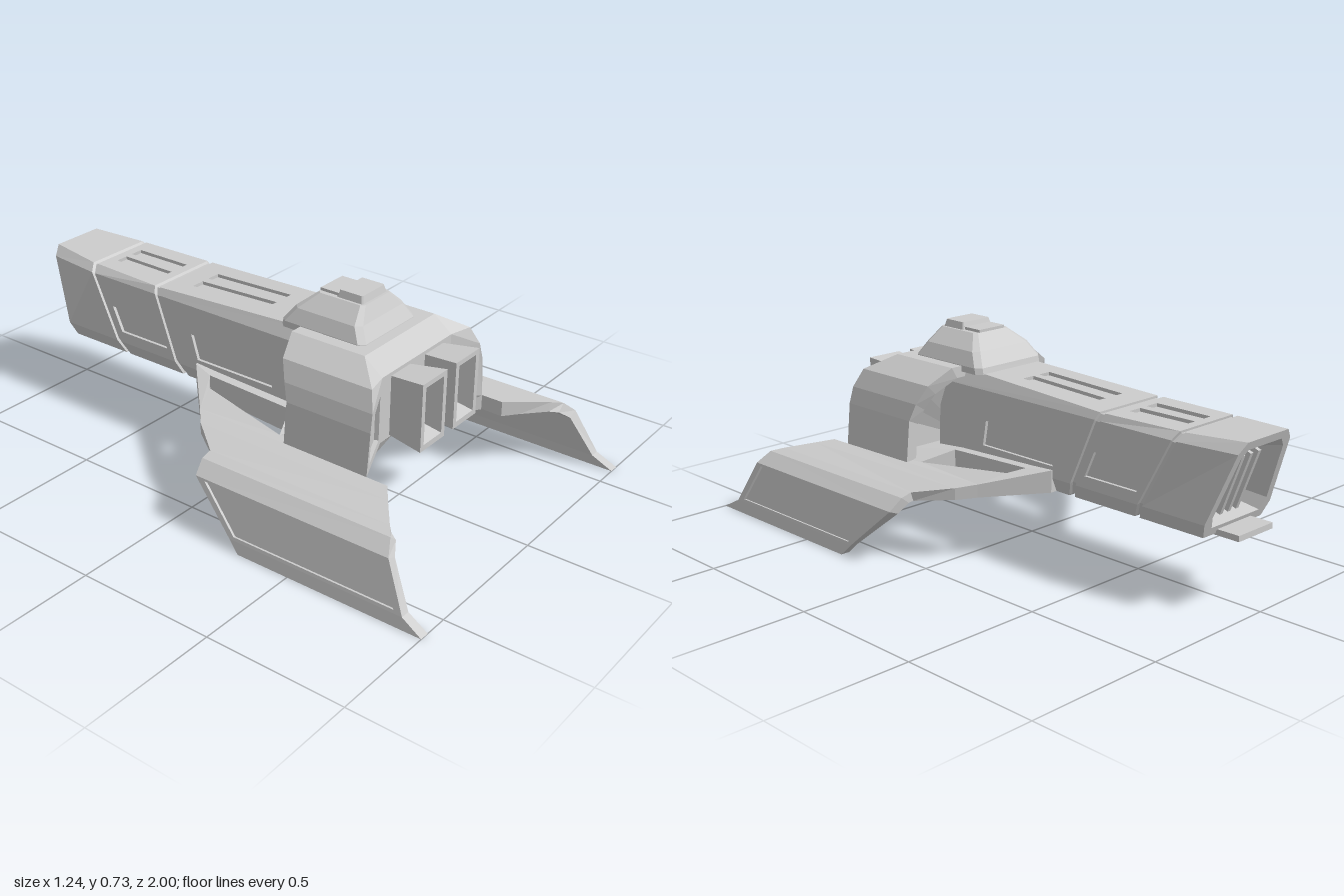
import * as THREE from 'three';

const material = new THREE.MeshStandardMaterial({ color: 0xcccccc, flatShading: true });
const V = (x, y, z) => new THREE.Vector3(x, y, z);
const clamp = (t) => Math.min(1, Math.max(0, t));

// Collects flat facets; with mirror on, every facet is repeated across x = 0
class Facets {
  constructor(mirror = false) { this.mirror = mirror; this.data = []; }
  tri(a, b, c) {
    if (b.clone().sub(a).cross(c.clone().sub(a)).length() < 1e-9) return;
    for (const p of [a, b, c]) this.data.push(p.x, p.y, p.z);
    if (this.mirror) for (const p of [a, c, b]) this.data.push(-p.x, p.y, p.z);
  }
  quad(a, b, c, d) { this.tri(a, b, c); this.tri(a, c, d); }
  // Quad with a sunken panel between u0..u1 (a to b) and v0..v1 (a to d)
  panel(c, [u0, u1, v0, v1], depth) {
    const at = (u, v) => c[0].clone().lerp(c[1], u).lerp(c[3].clone().lerp(c[2], u), v);
    const n = c[2].clone().sub(c[0]).cross(c[3].clone().sub(c[1])).normalize();
    const rim = [at(u0, v0), at(u1, v0), at(u1, v1), at(u0, v1)];
    const floor = rim.map((p) => p.clone().addScaledVector(n, -depth));
    for (let i = 0; i < 4; i++) {
      const j = (i + 1) % 4;
      this.quad(c[i], c[j], rim[j], rim[i]);
      this.quad(rim[i], rim[j], floor[j], floor[i]);
    }
    this.quad(...floor);
  }
  // Skin over rings of equal length; panels are keyed 'ring,side'
  loft(rings, { closed = true, panels = {}, depth = 0.012 } = {}) {
    for (let k = 0; k + 1 < rings.length; k++) {
      const n = rings[k].length;
      for (let i = 0; i < (closed ? n : n - 1); i++) {
        const j = (i + 1) % n;
        const q = [rings[k][i], rings[k + 1][i], rings[k + 1][j], rings[k][j]];
        const p = panels[`${k},${i}`];
        if (p) this.panel(q, p, depth); else this.quad(...q);
      }
    }
    return this;
  }
  mesh(name) {
    const g = new THREE.BufferGeometry();
    g.setAttribute('position', new THREE.Float32BufferAttribute(this.data, 3));
    g.computeVertexNormals();
    const m = new THREE.Mesh(g, material);
    m.name = name;
    return m;
  }
}
const point = (p, n) => Array.from({ length: n }, () => p);
const bothSides = (pts) => [...pts, ...pts.slice().reverse().map((p) => V(-p.x, p.y, p.z))];
const lift = (z) => 0.035 * clamp((0.1 - z) / 0.35);

// Long neck: slanted rings, seam grooves and a hollow tail end
function neck() {
  const ring = (zTop, zBot, wt, top, wu = 0.155, s = 1, dz = 0) => {
    const half = [[0.145, 0.25], [0.165, 0.3], [wu, 0.535], [wt, top]];
    const at = ([x, y]) => {
      const ys = 0.41 + (y - 0.41) * s;
      return V(x * s, ys, zBot + (zTop - zBot) * (ys - 0.25) / 0.32 + dz);
    };
    const r = half.map(at), l = r.slice().reverse().map((p) => V(-p.x, p.y, p.z));
    return [...r, at([0, top]), ...l];
  };
  const rings = [
    ring(0.3, 0.3, 0.125, 0.59),
    ring(-0.45, -0.32, 0.142, 0.56),
    ring(-0.453, -0.323, 0.142, 0.56, 0.155, 0.95),
    ring(-0.472, -0.342, 0.142, 0.56, 0.155, 0.95),
    ring(-0.475, -0.345, 0.142, 0.56),
    ring(-0.77, -0.605, 0.13, 0.562),
    ring(-0.773, -0.608, 0.13, 0.562, 0.155, 0.95),
    ring(-0.787, -0.622, 0.13, 0.562, 0.155, 0.95),
    ring(-0.79, -0.625, 0.13, 0.562),
    ring(-1, -0.88, 0.1, 0.57, 0.13),
    ring(-1, -0.88, 0.1, 0.57, 0.13, 0.82),
    ring(-1, -0.88, 0.1, 0.57, 0.13, 0.66, 0.1),
    point(V(0, 0.41, -0.84), 9),
  ];
  const panels = {
    '0,1': [0.34, 0.85, 0.17, 0.55], '0,6': [0.34, 0.85, 0.45, 0.83],
    '0,3': [0.43, 0.88, 0.52, 0.89], '0,4': [0.43, 0.88, 0.11, 0.48],
    '4,1': [0.08, 0.9, 0.17, 0.55], '4,6': [0.08, 0.9, 0.45, 0.83],
    '4,3': [0.12, 0.88, 0.52, 0.89], '4,4': [0.12, 0.88, 0.11, 0.48],
  };
  return new Facets().loft(rings, { panels }).mesh('neck');
}

// Faceted main pod with an arched, recessed rear and concave front cheeks
function pod() {
  const arch = [[0.345, 0.27], [0.33, 0.42], [0.315, 0.48], [0.285, 0.545], [0.2, 0.6]];
  const front = arch.map(([x, y], i) => V(x, y, [0.6, 0.6, 0.595, 0.57, 0.48][i]));
  const back = arch.map(([x, y], i) => V(x, y, [0.27, 0.27, 0.25, 0.22, 0.19][i]));
  const inset = (dz) => back.map((p) => V(p.x * 0.88, 0.27 + (p.y - 0.27) * 0.88, p.z + dz));
  const shell = new Facets().loft(
    [front, back, inset(0), inset(0.07)].map(bothSides).concat([point(V(0, 0.28, 0.33), 10)]),
    { closed: false });

  const face = new Facets(true);
  const [p0, p1, p2, p3, p4] = front;
  const low = V(0.2, 0.31, 0.55), high = V(0.2, 0.545, 0.55);
  const lowMid = V(0, 0.31, 0.55), highMid = V(0, 0.545, 0.55);
  const skirt = V(0.2, 0.215, 0.5);
  face.quad(lowMid, low, high, highMid);
  face.quad(highMid, high, p4, V(0, 0.6, 0.48));
  face.tri(high, p3, p4);
  face.tri(high, p2, p3);
  face.tri(p0, p1, p2);
  face.panel([low, p0, p2, high], [0.15, 0.85, 0.12, 0.8], 0.015);
  face.quad(V(0, 0.215, 0.46), skirt, low, lowMid);
  face.quad(skirt, V(0.345, 0.215, 0.6), p0, low);
  const g = new THREE.Group();
  g.name = 'mainPod';
  g.add(shell.mesh('podShell'), face.mesh('podFront'));
  return g;
}

// Central deck joining the wings, with an opening on each side of the neck
function deck() {
  const half = [[0.17, -0.26], [0.345, -0.09], [0.345, 0.6], [0.2, 0.5]];
  const v2 = ([x, z]) => new THREE.Vector2(x, z);
  const flip = ([x, z]) => [-x, z];
  const shape = new THREE.Shape(
    [...half, [0, 0.46], ...half.slice().reverse().map(flip)].map(v2));
  const hole = [[0.2, -0.17], [0.25, -0.13], [0.315, 0.23], [0.2, 0.18]];
  shape.holes.push(new THREE.Path(hole.map(v2)), new THREE.Path(hole.map(flip).map(v2)));
  const g = new THREE.ExtrudeGeometry(shape, { depth: 1, bevelEnabled: false });
  g.rotateX(Math.PI / 2);
  const p = g.attributes.position;
  for (let i = 0; i < p.count; i++) {
    const x = Math.abs(p.getX(i)), z = p.getZ(i);
    const top = 0.27 + 0.04 * clamp((0.345 - x) / 0.15) + lift(z) * 0.5;
    p.setY(i, p.getY(i) > -0.5 ? top : 0.215 + lift(z));
  }
  g.computeVertexNormals();
  const m = new THREE.Mesh(g, material);
  m.name = 'deck';
  return m;
}

// Drooping wings: stations of outer x, y, inner x, y, back z, front z
function wings() {
  const stations = [
    [0.345, 0.27, 0.345, 0.215, -0.09, 0.68],
    [0.4, 0.261, 0.4, 0.213, -0.04, 0.72],
    [0.49, 0.245, 0.48, 0.212, 0.08, 0.79],
    [0.53, 0.235, 0.5, 0.21, 0.08, 0.82],
    [0.575, 0.195, 0.54, 0.18, 0.09, 0.845],
    [0.612, 0.04, 0.578, 0.04, 0.26, 0.925],
    [0.62, 0, 0.585, 0, 0.3, 1],
  ];
  const rings = stations.map(([x, y, xi, yi, zb, zf]) => [
    V(xi, yi + lift(zb), zb), V(xi, yi, zf), V(x, y, zf), V(x, y + lift(zb) * 0.5, zb)]);
  const start = point(V(0.345, 0.24, 0.3), 4), end = point(V(0.602, 0, 0.65), 4);
  return new Facets(true)
    .loft([start, ...rings, end], { panels: { '5,2': [0.05, 0.93, 0.04, 0.96] }, depth: 0.01 })
    .mesh('wings');
}

// Stepped turret on the pod roof
function turret() {
  const ring = (w, y, zb, zf, c) => [
    [w - c, zb], [w, zb + c], [w, zf - c], [w - c, zf],
    [c - w, zf], [-w, zf - c], [-w, zb + c], [c - w, zb]].map(([x, z]) => V(x, y, z));
  const g = new THREE.Group();
  g.name = 'turret';
  g.add(new Facets().loft([
    ring(0.155, 0.58, 0.1, 0.445, 0.02), ring(0.155, 0.602, 0.105, 0.44, 0.02),
    ring(0.132, 0.65, 0.14, 0.41, 0.02), ring(0.078, 0.7, 0.2, 0.385, 0.012),
    point(V(0, 0.7, 0.29), 8)]).mesh('turretBase'));
  g.add(new Facets().loft([
    ring(0.072, 0.69, 0.27, 0.378, 0.004), ring(0.062, 0.725, 0.28, 0.37, 0.004),
    point(V(0, 0.725, 0.32), 8)]).mesh('turretCap'));
  g.add(box('turretStep', 0.12, 0.02, 0.08, 0, 0.7, 0.24));
  return g;
}

// Pair of flared launcher boxes with sunken mouths
function launchers() {
  const rect = (x0, x1, y0, y1, z) => [V(x1, y0, z), V(x1, y1, z), V(x0, y1, z), V(x0, y0, z)];
  return new Facets(true).loft([
    point(V(0.095, 0.42, 0.62), 4),
    rect(0.058, 0.132, 0.345, 0.51, 0.62),
    rect(0.045, 0.147, 0.325, 0.53, 0.68),
    rect(0.026, 0.166, 0.305, 0.547, 0.68),
    rect(0.045, 0.148, 0.32, 0.53, 0.53),
  ]).mesh('launchers');
}

function box(name, w, h, d, x, y, z, tilt = 0) {
  const m = new THREE.Mesh(new THREE.BoxGeometry(w, h, d), material);
  m.position.set(x, y, z);
  m.rotation.x = tilt;
  m.name = name;
  return m;
}

export function createModel() {
  const model = new THREE.Group();
  model.name = 'spacecraft';
  model.add(neck(), pod(), deck(), wings(), turret(), launchers());
  // Tail vent slats and the lip beneath them
  for (const x of [-0.04, 0, 0.04]) {
    model.add(box('tailSlat', 0.014, 0.22, 0.06, x, 0.41, -0.875, -0.36));
  }
  model.add(box('tailLip', 0.17, 0.02, 0.1, 0, 0.255, -0.92));
  return model;
}
